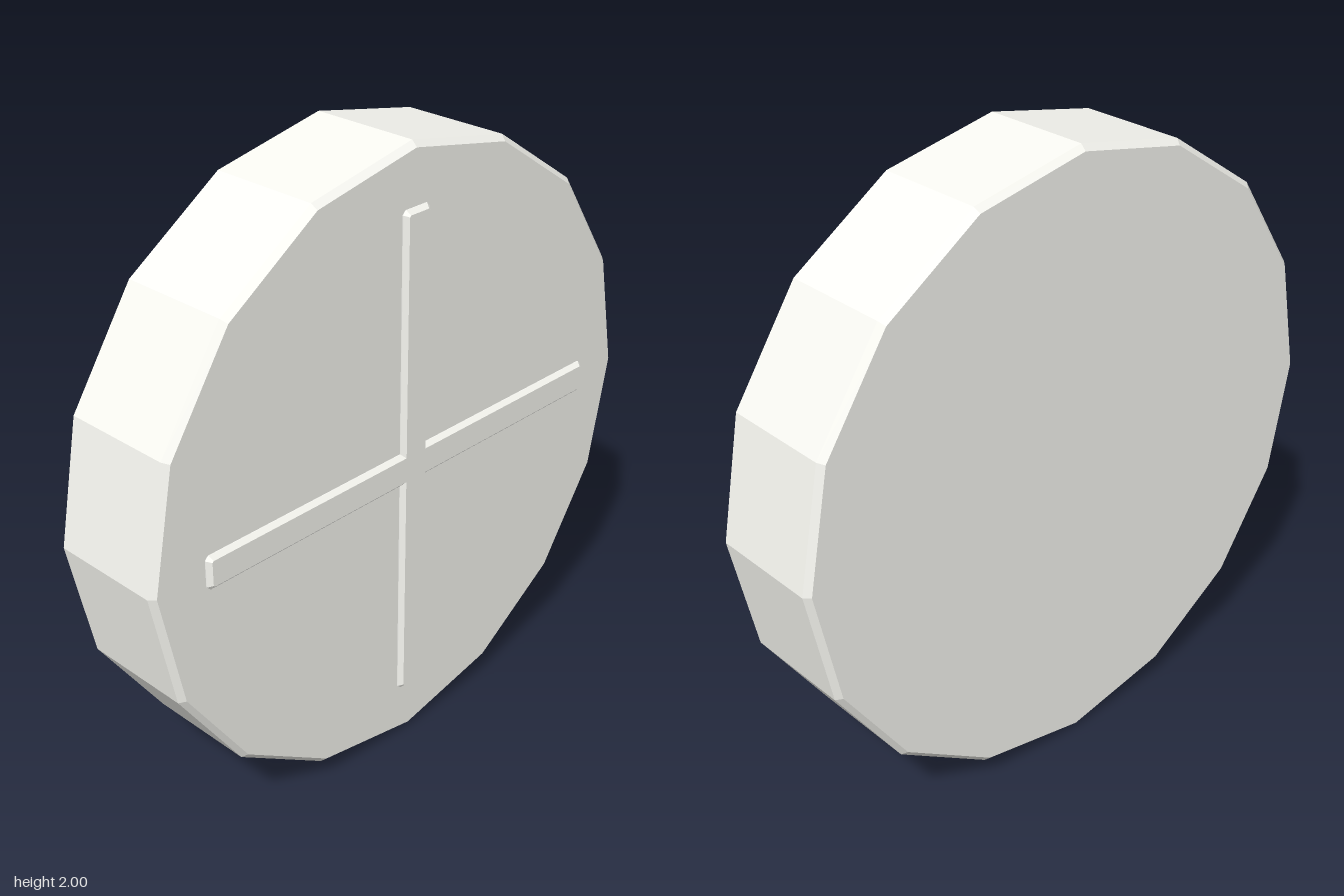
import * as THREE from 'three';

const SIDES = 16;
const BACK = -0.205, FACE = 0.189, FRONT = 0.205;
const CHAMFER = 0.018;

export function createModel() {
  const model = new THREE.Group();
  model.name = 'screwCap';
  const material = new THREE.MeshStandardMaterial({ color: 0xf8f8f2, flatShading: true });

  // Sixteen-sided disc with chamfered rims, turned to face the front
  const profile = [
    [0, BACK], [1 - CHAMFER, BACK], [1, BACK + CHAMFER],
    [1, FACE - CHAMFER], [1 - CHAMFER, FACE], [0, FACE],
  ].map(([r, h]) => new THREE.Vector2(r, h));
  const discGeometry = new THREE.LatheGeometry(profile, SIDES);
  discGeometry.rotateX(Math.PI / 2);
  const disc = new THREE.Mesh(discGeometry, material);
  disc.name = 'disc';
  disc.position.y = 1;
  model.add(disc);

  // Raised cross: one arm with clipped end corners, repeated four times, with bevelled edges
  const length = 0.815, width = 0.054, bevel = 0.013, clip = 0.012;
  const arm = [
    [length - clip, -width], [length, clip - width],
    [length, width - clip], [length - clip, width], [width, width],
  ];
  const outline = [];
  for (let i = 0; i < 4; i++) {
    for (const [x, y] of arm) {
      outline.push(new THREE.Vector2(x, y).rotateAround(new THREE.Vector2(), (i * Math.PI) / 2));
    }
  }
  const crossGeometry = new THREE.ExtrudeGeometry(new THREE.Shape(outline), {
    depth: 0.02, bevelEnabled: true, bevelSegments: 1,
    bevelSize: bevel, bevelThickness: bevel, bevelOffset: -bevel,
  });
  const cross = new THREE.Mesh(crossGeometry, material);
  cross.name = 'raisedCross';
  cross.position.set(0, 1, FRONT - 0.02 - bevel);
  model.add(cross);

  return model;
}
